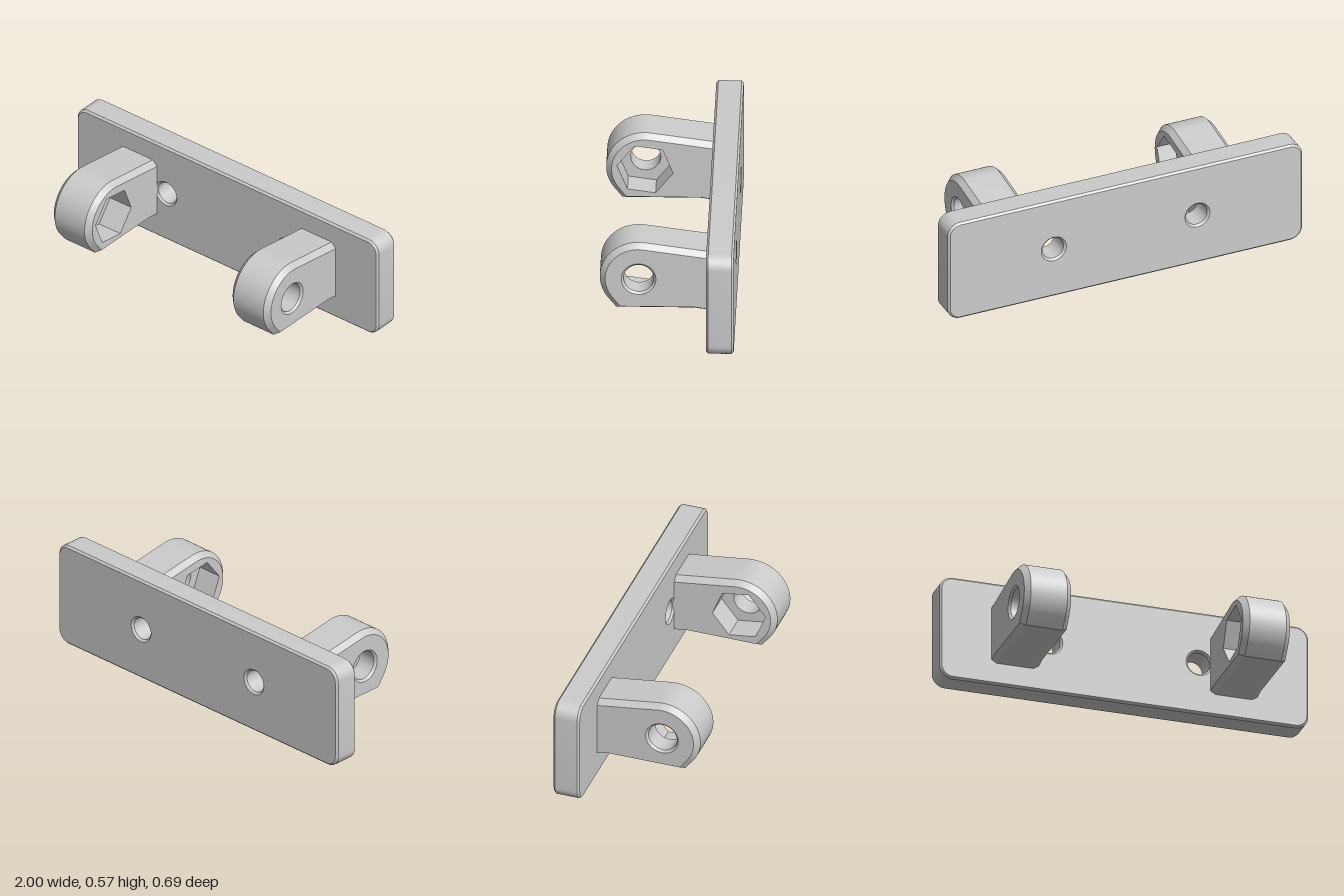
import * as THREE from 'three';
import { mergeGeometries, toCreasedNormals } from 'three/addons/utils/BufferGeometryUtils.js';

const V = (x, y) => new THREE.Vector2(x, y);

// Points on an arc, counter-clockwise, angles in degrees
function arc(cx, cy, r, from, to, n) {
  return Array.from({ length: n + 1 }, (_, i) => {
    const a = THREE.MathUtils.degToRad(from + (to - from) * i / n);
    return V(cx + r * Math.cos(a), cy + r * Math.sin(a));
  });
}
const ring = (cx, cy, r, n = 48, start = 0) => arc(cx, cy, r, start, start + 360, n).slice(0, n);

// Reverse the winding of a non-indexed geometry
function flip(geo) {
  const p = geo.attributes.position;
  for (let i = 0; i < p.count; i += 3) {
    const b = new THREE.Vector3().fromBufferAttribute(p, i + 1);
    const c = new THREE.Vector3().fromBufferAttribute(p, i + 2);
    p.setXYZ(i + 1, c.x, c.y, c.z);
    p.setXYZ(i + 2, b.x, b.y, b.z);
  }
  return geo;
}

// Wall through a stack of [points, depth] loops
function wall(stack, isHole = false) {
  const out = [];
  for (let k = 0; k + 1 < stack.length; k++) {
    const [p, w] = stack[k], [q, h] = stack[k + 1];
    p.forEach((a, i) => {
      const j = (i + 1) % p.length, b = p[j], c = q[j], d = q[i];
      out.push(a.x, a.y, w, b.x, b.y, w, c.x, c.y, h, a.x, a.y, w, c.x, c.y, h, d.x, d.y, h);
    });
  }
  const geo = new THREE.BufferGeometry();
  geo.setAttribute('position', new THREE.Float32BufferAttribute(out, 3));
  return isHole ? flip(geo) : geo;
}

// Flat face with holes at a depth, facing forward or backward
function cap(points, holes, depth, forward) {
  const shape = new THREE.Shape(points);
  shape.holes = holes.map(h => new THREE.Path(h));
  const geo = new THREE.ShapeGeometry(shape).toNonIndexed();
  geo.deleteAttribute('uv');
  geo.deleteAttribute('normal');
  geo.translate(0, 0, depth);
  return forward ? geo : flip(geo);
}

// Rounded plate with chamfered rims and two chamfered screw holes
function plateGeometry() {
  const z0 = -0.347, z1 = -0.205, c = 0.011, H = 0.573;
  const outline = inset => {
    const r = 0.07 - inset, x = 0.93, y0 = 0.07, y1 = H - 0.07;
    return [...arc(x, y0, r, -90, 0, 10), ...arc(x, y1, r, 0, 90, 10),
      ...arc(-x, y1, r, 90, 180, 10), ...arc(-x, y0, r, 180, 270, 10)];
  };
  const hole = (s, r) => ring(s * 0.405, H / 2, r);
  const rims = [-1, 1].map(s => hole(s, 0.071));
  return mergeGeometries([
    wall([[outline(c), z0], [outline(0), z0 + c], [outline(0), z1 - c], [outline(c), z1]]),
    cap(outline(c), rims, z0, false),
    cap(outline(c), rims, z1, true),
    ...[-1, 1].map(s => wall([[hole(s, 0.071), z0], [hole(s, 0.06), z0 + c],
      [hole(s, 0.06), z1 - c], [hole(s, 0.071), z1]], true)),
  ]);
}

// Lug drawn in the (-z, y) plane and extruded along x, inner face first
function lugGeometry() {
  const x0 = 0.466, x1 = 0.72, c = 0.028, pocket = x0 + 0.14;
  const cz = 0.148, cy = 0.306;
  const profile = (r, bottom, front, top) => [
    V(-0.22, bottom - 0.012), V(-0.14, bottom), V(front, bottom),
    ...arc(cz, cy, r, -36, 98, 40), V(-0.22, top),
  ].map(p => V(-p.x, p.y)).reverse();
  const big = profile(0.2, 0.13, 0.264, 0.457);
  const small = profile(0.172, 0.147, 0.244, 0.428);
  const hex = ring(-cz, cy, 0.146, 6, -8);
  const bore = ring(-cz, cy, 0.0775), rim = ring(-cz, cy, 0.089);
  const geo = mergeGeometries([
    wall([[small, x0], [big, x0 + c], [big, x1 - c], [small, x1]]),
    cap(small, [hex], x0, false),
    cap(small, [rim], x1, true),
    // nut pocket, its floor and the bolt bore
    wall([[hex, x0], [hex, pocket]], true),
    cap(hex, [bore], pocket, false),
    wall([[bore, pocket], [bore, x1 - 0.0115], [rim, x1]], true),
  ]);
  return geo.rotateY(Math.PI / 2);
}

export function createModel() {
  const model = new THREE.Group();
  model.name = 'mountingBracket';
  const material = new THREE.MeshStandardMaterial({ color: 0xcccccc });
  const add = (name, geo) => {
    const mesh = new THREE.Mesh(toCreasedNormals(geo, 0.5), material);
    mesh.name = name;
    model.add(mesh);
  };
  add('backPlate', plateGeometry());
  add('leftLug', lugGeometry());
  add('rightLug', flip(lugGeometry().scale(-1, 1, 1)));
  return model;
}
